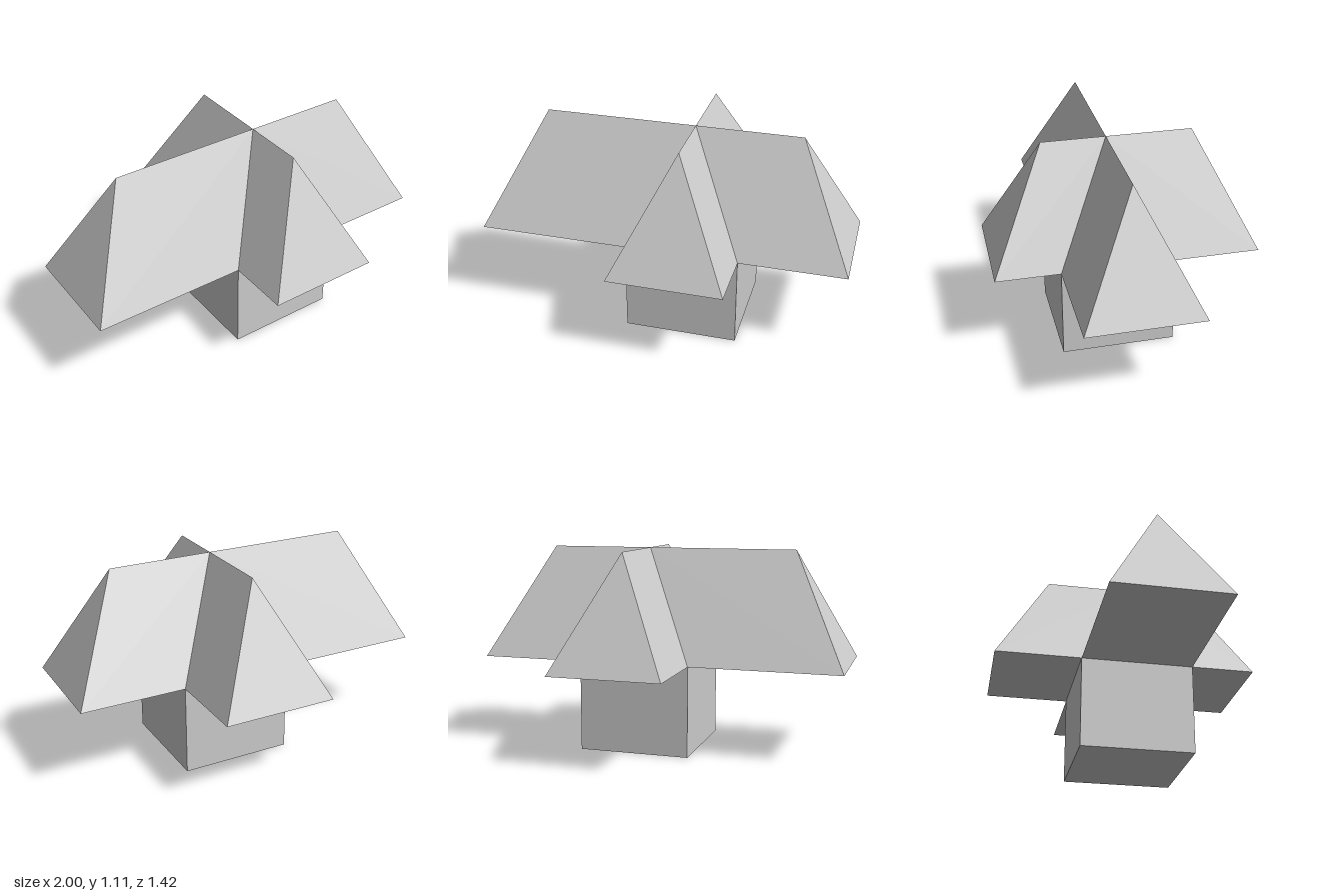
import * as THREE from 'three';

const HALF = 0.305;   // half width of the base and of every roof arm
const EAVE = 0.495;   // height of the eaves
const RISE = 0.61;    // eaves to ridge
const CENTRE = [0.125, 0.06];

// Hipped roof arm running along +z from the crossing, mitred at the valleys
function roofArm(length) {
  const w = HALF;
  const apex = [0, RISE, 0], ridge = [0, RISE, length - w];
  const inL = [-w, 0, w], inR = [w, 0, w];
  const outL = [-w, 0, length], outR = [w, 0, length];
  const faces = [
    [apex, ridge, outR, inR],   // right slope
    [apex, inL, outL, ridge],   // left slope
    [ridge, outL, outR],        // hip end
    [inL, inR, outR, outL],     // underside
  ];
  const pos = [];
  for (const f of faces)
    for (let i = 1; i < f.length - 1; i++) pos.push(...f[0], ...f[i], ...f[i + 1]);
  const geo = new THREE.BufferGeometry();
  geo.setAttribute('position', new THREE.Float32BufferAttribute(pos, 3));
  geo.computeVertexNormals();
  return geo;
}

export function createModel() {
  const model = new THREE.Group();
  model.name = 'crossRoofHouse';
  const mat = new THREE.MeshStandardMaterial({ color: 0xcccccc, flatShading: true });

  // Square base under the crossing
  const base = new THREE.Mesh(new THREE.BoxGeometry(2 * HALF, EAVE, 2 * HALF), mat);
  base.name = 'base';
  base.position.set(CENTRE[0], EAVE / 2, CENTRE[1]);
  model.add(base);

  // Four roof arms of differing length meeting at one apex
  const roof = new THREE.Group();
  roof.name = 'roof';
  roof.position.set(CENTRE[0], EAVE, CENTRE[1]);
  const arms = [
    ['frontArm', 0.648, 0],
    ['leftArm', 0.875, Math.PI / 2],
    ['backArm', 0.768, Math.PI],
    ['rightArm', 1.125, -Math.PI / 2],
  ];
  for (const [name, length, turn] of arms) {
    const arm = new THREE.Mesh(roofArm(length), mat);
    arm.name = name;
    arm.rotation.y = turn;
    roof.add(arm);
  }
  model.add(roof);
  return model;
}
